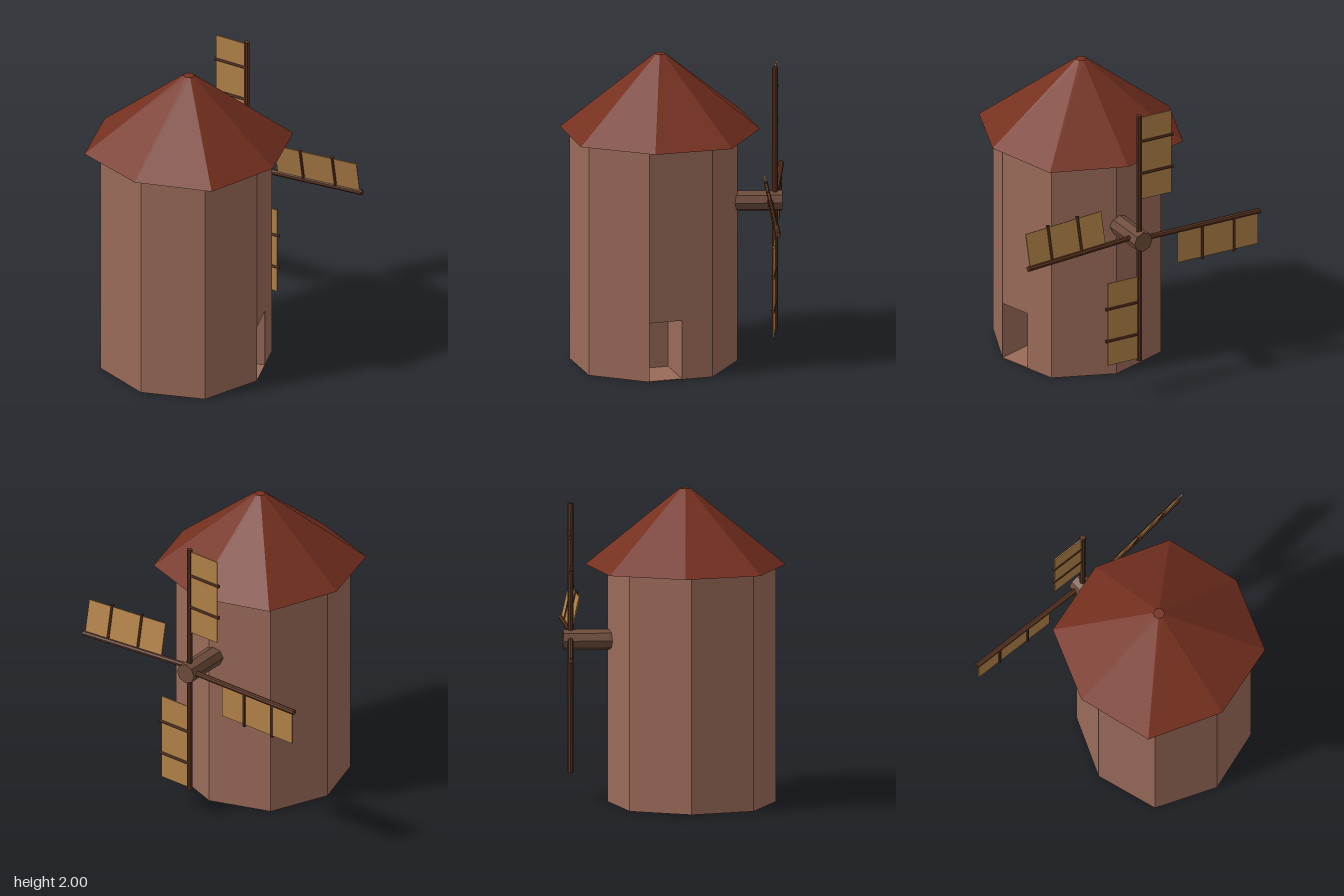
import * as THREE from 'three';

const material = (color) => new THREE.MeshStandardMaterial({ color, flatShading: true });
const brick = material(0x9a6b59);
const tile = material(0x75301f);
const timber = material(0x5a3320);
const hubWood = material(0x6e4c3a);
const cloth = material(0xb38349);

function add(parent, name, geometry, mat, x = 0, y = 0, z = 0) {
  const mesh = new THREE.Mesh(geometry, mat);
  mesh.name = name;
  mesh.position.set(x, y, z);
  parent.add(mesh);
  return mesh;
}

// Upright prism from a plan given as [x, z] points
function prism(plan, y0, y1) {
  const shape = new THREE.Shape(plan.map(([x, z]) => new THREE.Vector2(x, -z)));
  const geometry = new THREE.ExtrudeGeometry(shape, { depth: y1 - y0, bevelEnabled: false });
  return geometry.rotateX(-Math.PI / 2).translate(0, y0, 0);
}

// Eight-sided tower with a doorway cut into one face
function addTower(group) {
  const a = 0.53, d = 0.39;
  const plan = [[a, 0], [d, -d], [0, -a], [-d, -d], [-a, 0], [-d, d], [0, a], [d, d]];
  const depth = 0.3, inX = -0.941 * depth, inZ = 0.338 * depth;
  const door = [a - 0.072, -0.2];
  const notched = [
    [a, 0], [a + inX, inZ], [door[0] + inX, door[1] + inZ], door, ...plan.slice(1),
  ];
  const tower = new THREE.Group();
  tower.name = 'tower';
  tower.position.set(0.052, 0, 0.12);
  add(tower, 'towerFloor', prism(plan, 0, 0.005), brick);
  add(tower, 'doorwayWall', prism(notched, 0.005, 0.385), brick);
  add(tower, 'upperWall', prism(plan, 0.385, 1.53), brick);
  group.add(tower);
}

// Roof frustum, with its diagonal corners pushed slightly outward
function addRoof(group) {
  const geometry = new THREE.CylinderGeometry(0.035, 0.63, 0.485, 8);
  const p = geometry.attributes.position;
  for (let i = 0; i < p.count; i++) {
    if (Math.abs(p.getX(i)) > 0.1 && Math.abs(p.getZ(i)) > 0.1) {
      p.setX(i, p.getX(i) * 1.066);
      p.setZ(i, p.getZ(i) * 1.066);
    }
  }
  add(group, 'roof', geometry, tile, 0.045, 1.7575, 0.08);
}

// One sail along +x, with its cloth on the +y side
function makeSail() {
  const sail = new THREE.Group();
  sail.name = 'sail';
  add(sail, 'sailArm', new THREE.CylinderGeometry(0.018, 0.018, 0.86, 8).rotateZ(Math.PI / 2), timber, 0.43);
  add(sail, 'sailCloth', new THREE.BoxGeometry(0.575, 0.225, 0.008), cloth, 0.5575, 0.1145);
  for (const x of [0.45, 0.675]) {
    add(sail, 'sailRib', new THREE.CylinderGeometry(0.012, 0.012, 0.24, 8), timber, x, 0.12);
  }
  return sail;
}

export function createModel() {
  const group = new THREE.Group();
  group.name = 'windmill';
  addTower(group);
  addRoof(group);

  // Shaft, turned slightly off the tower's axis
  const hub = add(group, 'hub', new THREE.CylinderGeometry(0.066, 0.066, 0.34, 8).rotateX(Math.PI / 2),
    hubWood, 0.02, 1.038, -0.52);
  hub.rotation.y = 0.06;

  // Four sails in a pinwheel; the +x one is skewed and leaning
  for (let i = 0; i < 4; i++) {
    const sail = makeSail();
    sail.position.set(0.015, 1.05, -0.643);
    if (i === 0) {
      sail.position.set(-0.015, 1.048, -0.605);
      sail.rotation.set(0.22, 0.112, 0, 'YXZ');
    } else {
      sail.rotation.z = (i * Math.PI) / 2;
      if (i === 2) sail.position.y = 1.04;
    }
    group.add(sail);
  }
  return group;
}
